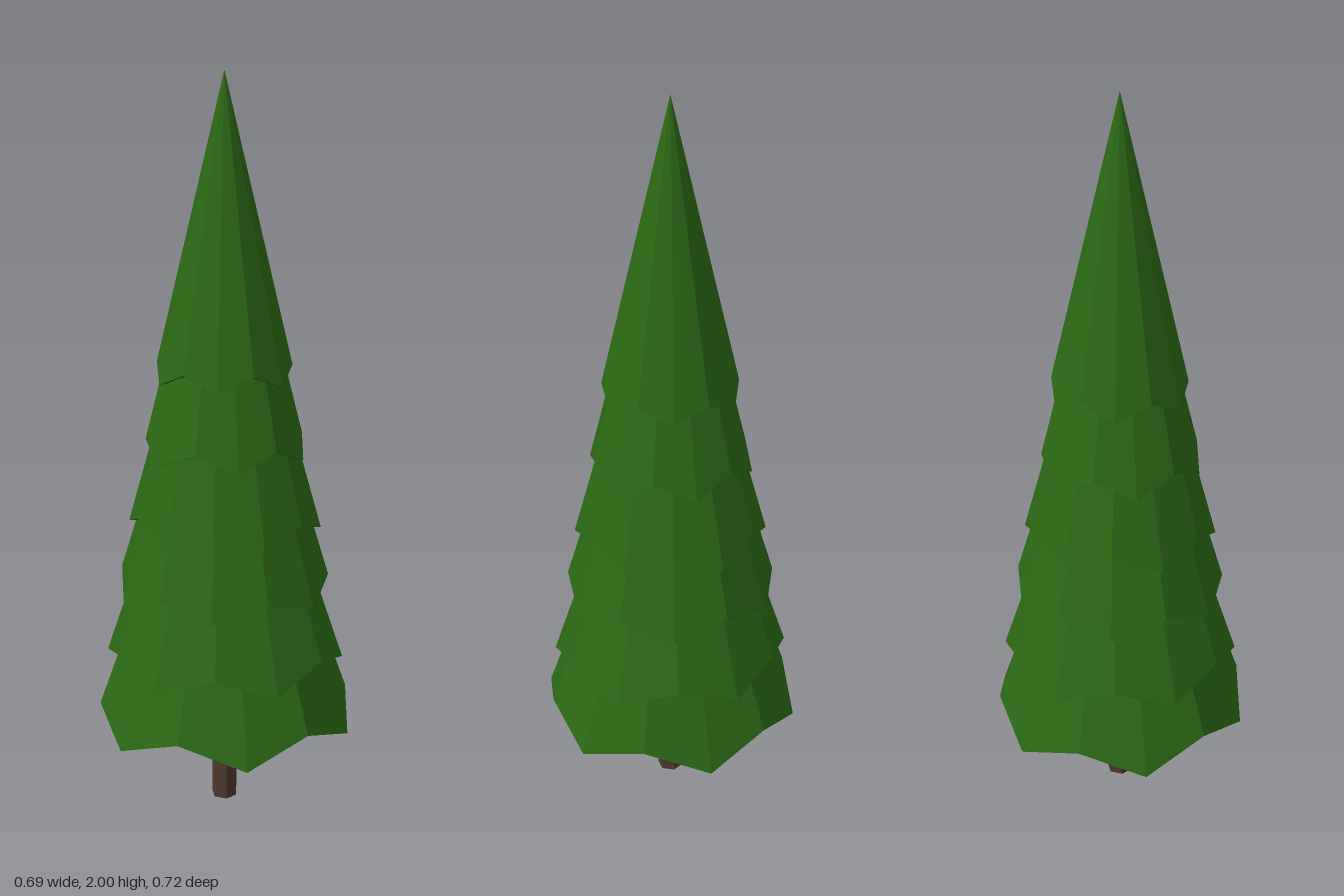
import * as THREE from 'three';

const SIDES = 12;

// One layer of boughs: a closed cone whose hem zigzags between long and short points
function makeTier({ radius, inner, low, high, apex, turn, tilt = 0 }, material) {
  const height = apex - low;
  const geometry = new THREE.ConeGeometry(radius, height, SIDES, 1);
  geometry.translate(0, height / 2, 0);
  const p = geometry.attributes.position;
  for (let i = 0; i < p.count; i++) {
    const x = p.getX(i), z = p.getZ(i);
    const onHem = p.getY(i) < 1e-4 && Math.hypot(x, z) > 1e-4;
    const step = Math.round((Math.atan2(x, z) / (2 * Math.PI)) * SIDES);
    if (onHem && Math.abs(step) % 2 === 1) {
      const s = inner / radius;
      p.setXYZ(i, x * s, high - low, z * s);
    }
  }
  geometry.rotateY(THREE.MathUtils.degToRad(turn));
  // Slight lean of the hem, leaving the tip on the axis
  for (let i = 0; i < p.count; i++) {
    const fade = 1 - p.getY(i) / height;
    p.setY(i, p.getY(i) + tilt * p.getZ(i) * fade);
  }
  geometry.computeVertexNormals();
  const mesh = new THREE.Mesh(geometry, material);
  mesh.position.y = low;
  return mesh;
}

export function createModel() {
  const tree = new THREE.Group();
  tree.name = 'pineTree';

  const bark = new THREE.MeshStandardMaterial({ color: 0x4f382c, flatShading: true });
  const needles = new THREE.MeshStandardMaterial({ color: 0x2a6814, flatShading: true });

  // Six-sided trunk
  const trunk = new THREE.Mesh(new THREE.CylinderGeometry(0.036, 0.036, 0.3, 6), bark);
  trunk.name = 'trunk';
  trunk.position.y = 0.15;
  tree.add(trunk);

  // Stacked layers of boughs, bottom to top
  const tiers = [
    { radius: 0.358, inner: 0.346, low: 0.247, high: 0.31, apex: 1.27, turn: 0, tilt: 0.02 },
    { radius: 0.325, inner: 0.313, low: 0.435, high: 0.487, apex: 1.4, turn: 16 },
    { radius: 0.292, inner: 0.282, low: 0.635, high: 0.68, apex: 1.6, turn: -16 },
    { radius: 0.26, inner: 0.25, low: 0.812, high: 0.86, apex: 1.74, turn: 14 },
    { radius: 0.22, inner: 0.21, low: 1.015, high: 1.06, apex: 1.88, turn: 0 },
    { radius: 0.184, inner: 0.178, low: 1.217, high: 1.257, apex: 2, turn: -15 },
  ];
  tiers.forEach((tier, i) => {
    const mesh = makeTier(tier, needles);
    mesh.name = `boughLayer${i + 1}`;
    tree.add(mesh);
  });

  return tree;
}
